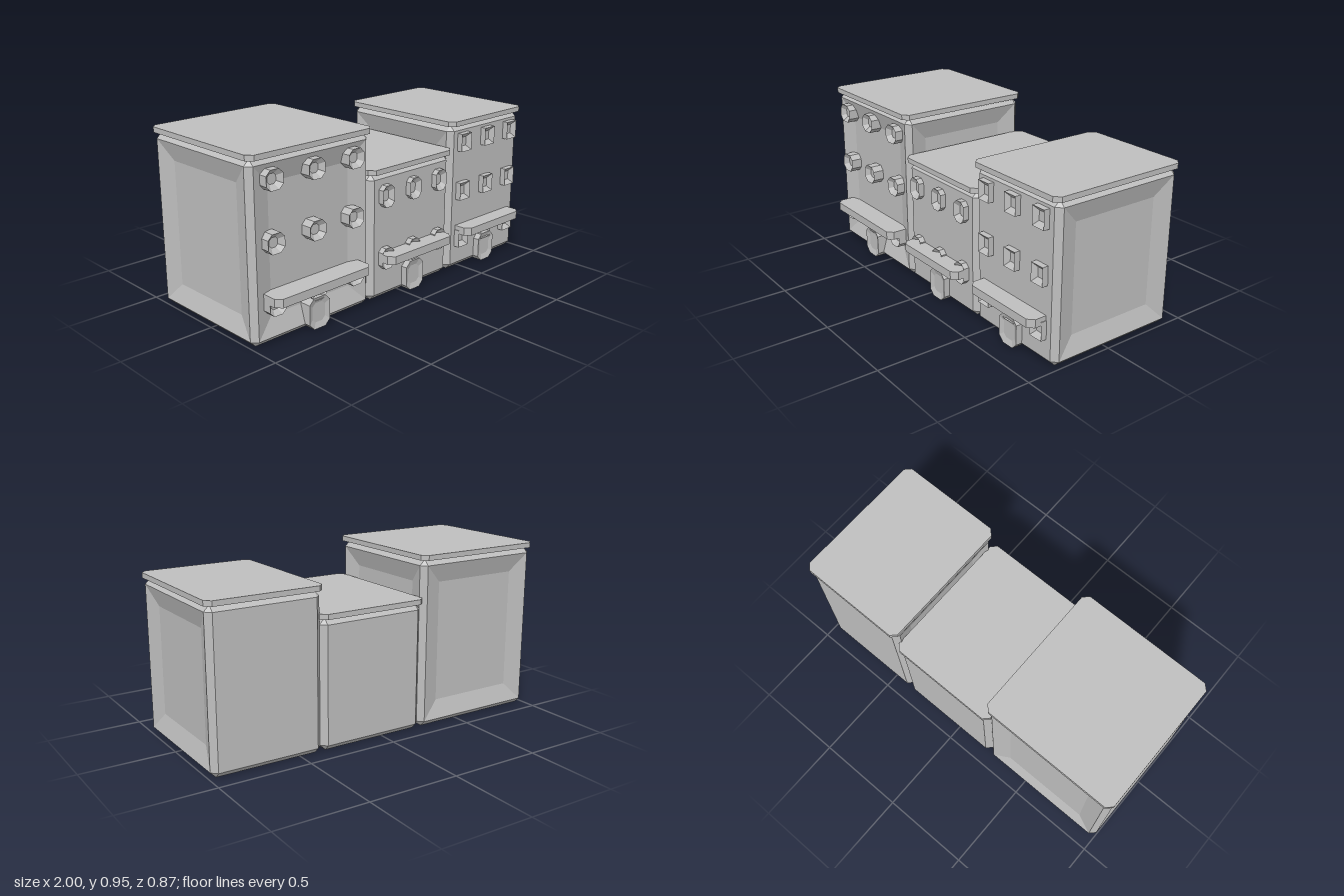
import * as THREE from 'three';

const grey = new THREE.MeshStandardMaterial({ color: 0xbfbfbf });
grey.name = 'plain grey';
grey.flatShading = true;

// Rectangle with cut corners, counter-clockwise, at height t along z
function ring(w, h, c, t) {
  return [[w, c - h], [w, h - c], [w - c, h], [c - w, h], [-w, h - c], [-w, c - h], [c - w, -h], [w - c, -h]]
    .map(([x, y]) => new THREE.Vector3(x, y, t));
}

// Joins rings into a closed solid; the listed sides of the given band get a sunken panel
function loft(rings, sunkBand = -1, sunkSides = []) {
  const pos = [];
  const tri = (a, b, c) => {
    const n = b.clone().sub(a).cross(c.clone().sub(a));
    if (n.length() > 1e-9) for (const p of [a, b, c]) pos.push(p.x, p.y, p.z);
  };
  const quad = (a, b, c, d) => { tri(a, b, c); tri(a, c, d); };
  const sunkQuad = (a, b, c, d, inset, depth) => {
    const u = b.clone().sub(a).normalize();
    const v = d.clone().sub(a).normalize();
    const n = u.clone().cross(v);
    const outer = [a, b, c, d];
    const inner = [[1, 1], [-1, 1], [-1, -1], [1, -1]].map(([s, t], i) => outer[i].clone()
      .addScaledVector(u, s * inset).addScaledVector(v, t * inset).addScaledVector(n, -depth));
    for (let i = 0; i < 4; i++) quad(outer[i], outer[(i + 1) % 4], inner[(i + 1) % 4], inner[i]);
    quad(...inner);
  };
  for (let r = 0; r < rings.length - 1; r++) {
    for (let i = 0; i < 8; i++) {
      const j = (i + 1) % 8;
      const q = [rings[r][i], rings[r][j], rings[r + 1][j], rings[r + 1][i]];
      if (r === sunkBand && sunkSides.includes(i)) sunkQuad(...q, 0.1, 0.03);
      else quad(...q);
    }
  }
  const first = rings[0], last = rings[rings.length - 1];
  for (let i = 1; i < 7; i++) {
    tri(first[0], first[i + 1], first[i]);
    tri(last[0], last[i], last[i + 1]);
  }
  const g = new THREE.BufferGeometry();
  g.setAttribute('position', new THREE.Float32BufferAttribute(pos, 3));
  g.computeVertexNormals();
  return g;
}

const upright = (g) => g.rotateX(-Math.PI / 2);

// Block with bevelled edges, standing on y = 0
function bevelBlock(w, d, height, c, sunkSides) {
  return upright(loft([
    ring(w - c, d - c, 0, 0), ring(w, d, c, c),
    ring(w, d, c, height - c), ring(w - c, d - c, 0, height),
  ], 1, sunkSides));
}

// Facade block facing +z with a hollow in its front
function hollowBlock(w, h, c, z0, z1, depth, scale) {
  return loft([ring(w, h, c, z0), ring(w, h, c, z1), ring(w * scale, h * scale, c * scale, z1 - depth)]);
}

// Sides: 0 right (+x), 2 back, 4 left (-x), 6 front
const houses = [
  { name: 'tallHouse', x: -0.615, half: 0.38, height: 0.918, sunk: [0, 2, 4, 6], spacing: 0.255,
    rows: [0.2, 0.51, 0.815], window: [0.05, 0.05, 0.025], awning: 0.305 },
  { name: 'lowHouse', x: 0.0725, half: 0.3075, height: 0.692, sunk: [], spacing: 0.203,
    rows: [0.23, 0.57], window: [0.041, 0.058, 0.022], awning: 0.243 },
  { name: 'mediumHouse', x: 0.685, half: 0.305, height: 0.84, sunk: [0, 4], spacing: 0.203,
    rows: [0.185, 0.465, 0.745], window: [0.041, 0.05, 0], awning: 0.24 },
];

export function createModel() {
  const model = new THREE.Group();
  model.name = 'rowOfHouses';
  for (const h of houses) {
    const house = new THREE.Group();
    house.name = h.name;
    house.position.x = h.x;
    const add = (name, geometry, x, y, z) => {
      const mesh = new THREE.Mesh(geometry, grey);
      mesh.name = name;
      mesh.position.set(x, y, z);
      house.add(mesh);
    };

    // Bevelled walls and the overhanging flat roof
    add('walls', bevelBlock(h.half, 0.38, h.height, 0.03, h.sunk), 0, 0, -0.04);
    const rw = h.half + 0.007;
    add('roof', upright(loft([ring(rw, 0.397, 0.03, 0), ring(rw, 0.397, 0.03, 0.028)])), 0, h.height, -0.038);

    // Window grid
    const [w, t, c] = h.window;
    const pane = hollowBlock(w, t, c, 0.3, 0.373, 0.025, 0.5);
    for (const y of h.rows) {
      for (const i of [-1, 0, 1]) add('window', pane, i * h.spacing, y, 0);
    }

    // Door and the awning above it
    add('door', hollowBlock(0.066, 0.083, 0.03, 0.3, 0.376, 0.01, 0.62), 0, 0.084, 0);
    const a = h.awning;
    const awning = new THREE.Shape([[-a, -0.31], [-a, -0.405], [0.03 - a, -0.435], [a - 0.03, -0.435], [a, -0.405], [a, -0.31]]
      .map(([x, y]) => new THREE.Vector2(x, y)));
    add('awning', upright(new THREE.ExtrudeGeometry(awning, { depth: 0.045, bevelEnabled: false })), 0, 0.215, 0);
    model.add(house);
  }
  return model;
}
